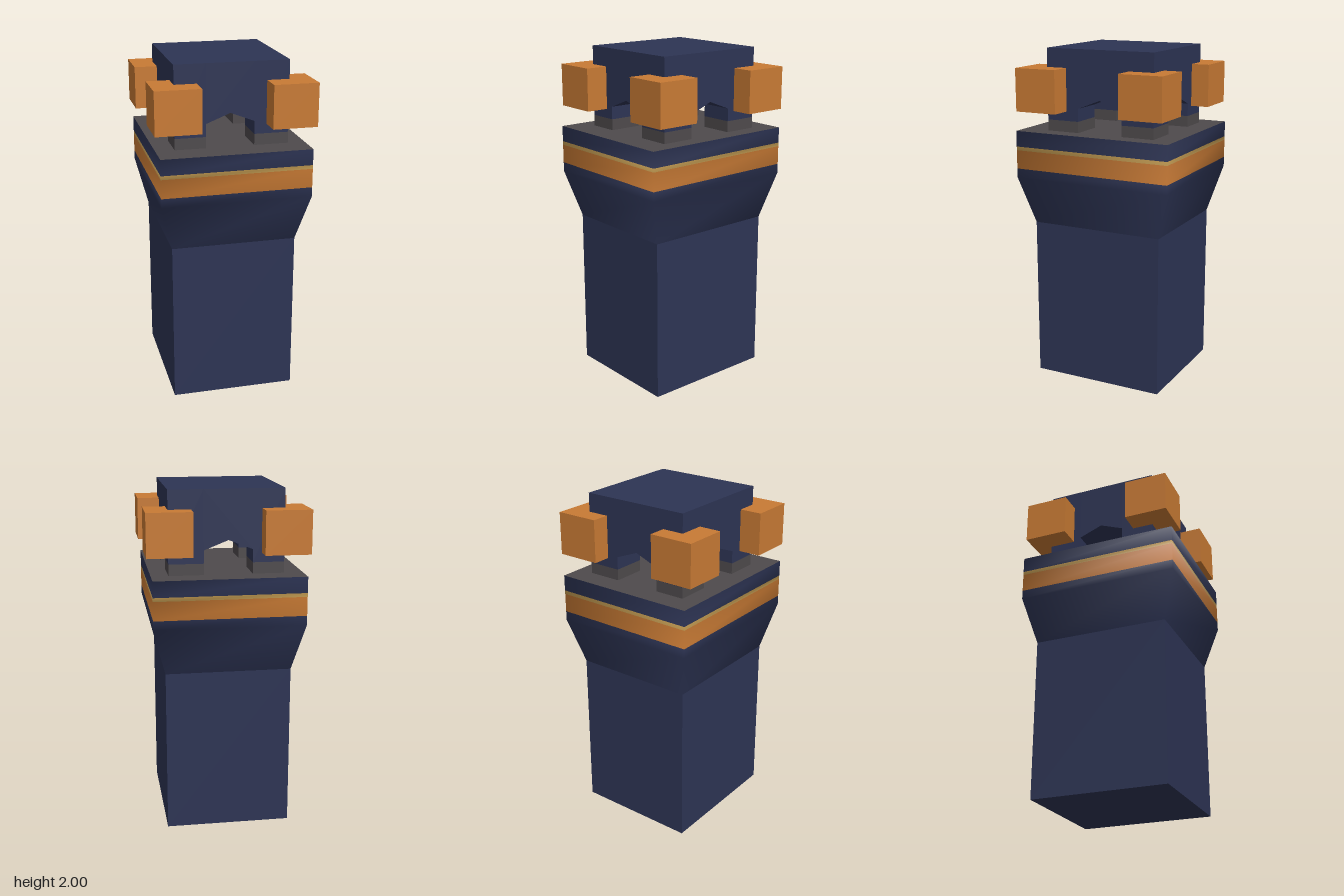
import * as THREE from 'three';

const material = (name, color) => {
  const m = new THREE.MeshStandardMaterial({ color });
  m.name = name;
  return m;
};

export function createModel() {
  const navy = material('navy', 0x2d3454);
  const orange = material('orange', 0xc87a34);
  const gold = material('gold', 0xc49c52);
  const stone = material('stoneGrey', 0x4e4a4c);

  const model = new THREE.Group();
  model.name = 'tower';

  const add = (name, geometry, mat, parent = model) => {
    const mesh = new THREE.Mesh(geometry, mat);
    mesh.name = name;
    parent.add(mesh);
    return mesh;
  };

  // Box given by its limits on each axis
  const block = (name, [x0, x1], [y0, y1], [z0, z1], mat, parent) =>
    add(name, new THREE.BoxGeometry(x1 - x0, y1 - y0, z1 - z0), mat, parent)
      .position.set((x0 + x1) / 2, (y0 + y1) / 2, (z0 + z1) / 2);

  // Shaft
  block('shaft', [-0.37, 0.36], [0, 0.96], [-0.405, 0.405], navy);

  // Flared head: one smooth-shaded loft of rectangular rings, coloured by band
  const rings = [ // y, half width, half depth
    [0.96, 0.365, 0.405], [1.24, 0.435, 0.485], [1.295, 0.435, 0.485],
    [1.405, 0.435, 0.485], [1.427, 0.435, 0.485], [1.52, 0.435, 0.485],
  ];
  const bandMaterial = [0, 0, 1, 2, 0];
  const corners = [[-1, 1], [1, 1], [1, -1], [-1, -1]];
  const positions = [];
  const index = [];
  const head = new THREE.BufferGeometry();
  rings.forEach(([y, w, d], r) => {
    corners.forEach(([sx, sz]) => positions.push(sx * w - 0.005, y, sz * d));
    if (r === rings.length - 1) return;
    head.addGroup(index.length, 24, bandMaterial[r]);
    for (let i = 0; i < 4; i++) {
      const a = r * 4 + i, b = r * 4 + (i + 1) % 4;
      index.push(a, b, b + 4, a, b + 4, a + 4);
    }
  });
  head.setAttribute('position', new THREE.Float32BufferAttribute(positions, 3));
  head.setIndex(index);
  head.computeVertexNormals();
  add('flaredHead', head, [navy, orange, gold]);

  // Deck on top of the head
  const deck = new THREE.PlaneGeometry(0.87, 0.97).rotateX(-Math.PI / 2);
  add('deck', deck, stone).position.set(-0.005, 1.52, 0);

  // Belfry: corner posts on stone feet, with an orange cube at each corner
  const belfry = new THREE.Group();
  belfry.name = 'belfry';
  model.add(belfry);
  const spansX = [[-0.33, -0.15], [0.13, 0.33]];
  const spansZ = [[-0.355, -0.155], [0.125, 0.325]];
  const cubeSpans = [[-0.463, -0.2], [0.2, 0.46]];
  spansX.forEach((sx, i) => spansZ.forEach((sz, j) => {
    block('postFoot', sx, [1.52, 1.585], sz, stone, belfry);
    block('post', sx, [1.585, 2], sz, navy, belfry);
    block('cornerCube', cubeSpans[i], [1.64, 1.89], cubeSpans[j], orange, belfry);
  }));

  // Gabled lintels between the posts, two across and two along
  const lintel = (a, b, depth) => {
    const shape = new THREE.Shape([
      [a, 1.66], [(a + b) / 2, 1.715], [b, 1.66], [b, 2], [a, 2],
    ].map(([x, y]) => new THREE.Vector2(x, y)));
    return new THREE.ExtrudeGeometry(shape, { depth, bevelEnabled: false });
  };
  spansZ.forEach(([z0, z1]) =>
    add('lintelAcross', lintel(-0.15, 0.13, z1 - z0).translate(0, 0, z0), navy, belfry));
  spansX.forEach(([x0, x1]) =>
    add('lintelAlong', lintel(-0.155, 0.125, x1 - x0).rotateY(-Math.PI / 2).translate(x1, 0, 0), navy, belfry));

  // Roof core over the crossing
  block('roofCore', [-0.15, 0.13], [1.715, 2], [-0.155, 0.125], navy, belfry);

  return model;
}
